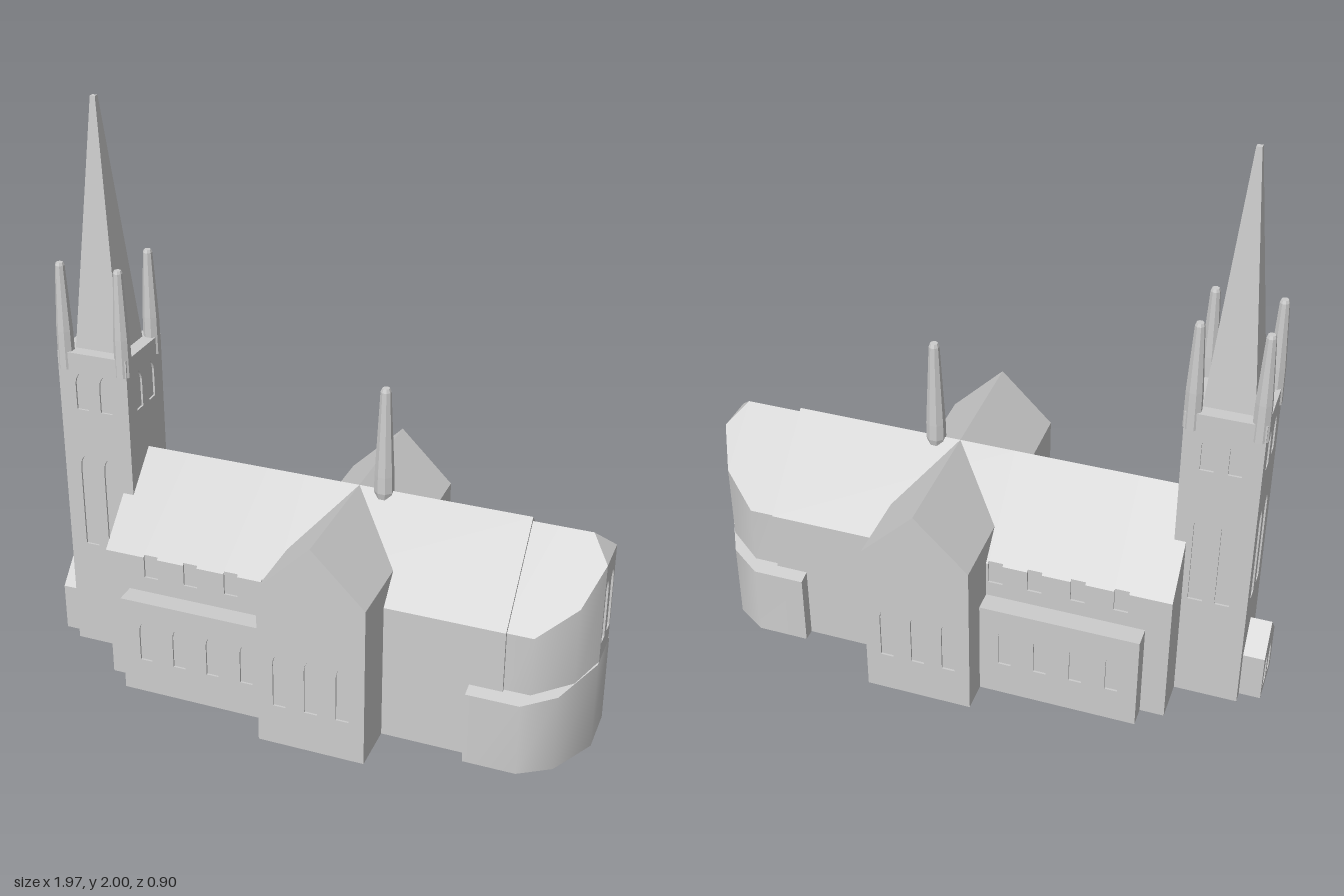
import * as THREE from 'three';

const stone = new THREE.MeshStandardMaterial({ color: 0xcccccc });
stone.name = 'stone';
const RECESS = 0.007;

function add(parent, name, geometry, x = 0, y = 0, z = 0) {
  const mesh = new THREE.Mesh(geometry, stone);
  mesh.name = name;
  mesh.position.set(x, y, z);
  parent.add(mesh);
  return mesh;
}

// box given by its limits
function block(parent, name, x0, x1, y0, y1, z0, z1) {
  return add(parent, name, new THREE.BoxGeometry(x1 - x0, y1 - y0, z1 - z0),
    (x0 + x1) / 2, (y0 + y1) / 2, (z0 + z1) / 2);
}

const outline = (pts) => new THREE.Shape(pts.map(([x, y]) => new THREE.Vector2(x, y)));
const rect = (x0, x1, y0, y1) => [[x0, y0], [x1, y0], [x1, y1], [x0, y1]];
const gable = (w, eave, ridge) => [[-w, 0], [w, 0], [w, eave], [0, ridge], [-w, eave]];
const extrude = (shape, depth) =>
  new THREE.ExtrudeGeometry(shape, { depth, bevelEnabled: false, curveSegments: 5 });

// pointed window opening
function lancet(x, y0, y1, w = 0.045) {
  const h = w / 2, spring = y1 - w * 1.1;
  const p = new THREE.Path();
  p.moveTo(x - h, y0);
  p.lineTo(x + h, y0);
  p.lineTo(x + h, spring);
  p.quadraticCurveTo(x + h, y1 - w * 0.4, x, y1);
  p.quadraticCurveTo(x - h, y1 - w * 0.4, x - h, spring);
  p.closePath();
  return p;
}

// wall facing with window openings, looking towards +z
function facing(pts, windows) {
  const s = outline(pts);
  s.holes.push(...windows);
  return extrude(s, RECESS);
}

// solid running along x from x0 to x1 with a cross-section in (z, y)
function alongX(parent, name, pts, x0, x1) {
  const g = extrude(outline(pts), x1 - x0);
  g.rotateY(Math.PI / 2);
  return add(parent, name, g, x0);
}

// round-ended choir block: half plan [x, z], roof height by z, hipped at hipX
function apseBlock(parent, name, plan, base, roofY, hipX, openEnd) {
  const path = [...plan, ...plan.map(([x, z]) => [x, -z]).reverse()];
  const wall = [], index = [];
  path.forEach(([x, z], i) => {
    wall.push(x, base, z, x, roofY(Math.abs(z)), z);
    if (i < path.length - 1 && !(openEnd && i === plan.length - 1)) {
      const a = 2 * i;
      index.push(a, a + 2, a + 3, a, a + 3, a + 1);
    }
  });
  const walls = new THREE.BufferGeometry();
  walls.setAttribute('position', new THREE.Float32BufferAttribute(wall, 3));
  walls.setIndex(index);
  walls.computeVertexNormals();
  add(parent, name + 'Wall', walls);

  const flat = [];
  const fan = (...p) => {
    for (let i = 1; i < p.length - 1; i++) flat.push(...p[0], ...p[i], ...p[i + 1]);
  };
  const top = ([x, z], s) => [x, roofY(z), s * z];
  const ridge = ([x]) => [Math.min(x, hipX), roofY(0), 0];
  const low = ([x, z], s) => [x, base, s * z];
  for (let i = 0; i < plan.length - 1; i++) {
    const a = plan[i], b = plan[i + 1];
    fan(top(a, 1), top(b, 1), ridge(b), ridge(a));
    fan(ridge(a), ridge(b), top(b, -1), top(a, -1));
    fan(low(a, 1), low(a, -1), low(b, -1), low(b, 1));
  }
  const s = plan[0], e = plan[plan.length - 1];
  fan(top(e, 1), top(e, -1), ridge(e));
  fan(low(s, 1), top(s, 1), ridge(s), top(s, -1), low(s, -1));
  const roof = new THREE.BufferGeometry();
  roof.setAttribute('position', new THREE.Float32BufferAttribute(flat, 3));
  roof.computeVertexNormals();
  add(parent, name + 'Roof', roof);
}

// eight-sided pinnacle from a [radius, y] profile
function pinnacle(parent, name, profile, x, z) {
  const pts = profile.map(([r, y]) => new THREE.Vector2(r, y));
  const g = new THREE.LatheGeometry(pts, 8, Math.PI / 8).toNonIndexed();
  g.computeVertexNormals();
  add(parent, name, g, x, 0, z);
}

function buildNave(root) {
  const nave = new THREE.Group();
  nave.name = 'nave';
  root.add(nave);
  const W = 0.275, E = 0.498, R = 0.773, n = W - RECESS, sill = 0.42;
  const plain = gable(W, E, R);
  const notched = [[-W, 0], [W, 0], [W, sill], [n, sill], [n, E + RECESS],
    [0, R], [-n, E + RECESS], [-n, sill], [-W, sill]];
  // plain bays alternate with clerestory window bays
  let x = -0.692;
  for (const c of [-0.523, -0.375, -0.226, -0.09]) {
    alongX(nave, 'naveBay', plain, x, c - 0.025);
    alongX(nave, 'clerestoryBay', notched, c - 0.025, c + 0.025);
    x = c + 0.025;
  }
  alongX(nave, 'naveEastBay', plain, x, 0.722);

  // side aisles
  const d = 0.345 - RECESS;
  for (const s of [1, -1]) {
    const aisle = new THREE.Group();
    aisle.name = s > 0 ? 'frontAisle' : 'backAisle';
    const core = block(aisle, 'aisleCore', -0.608, -0.055, 0, 0.363, 0.2, d);
    core.position.z *= s;
    const windows = [-0.52, -0.395, -0.27, -0.145].map((c) => lancet(s * c, 0.13, 0.29));
    const pts = s > 0 ? rect(-0.608, -0.055, 0, 0.363) : rect(0.055, 0.608, 0, 0.363);
    const f = add(aisle, 'aisleFacing', facing(pts, windows), 0, 0, s * d);
    if (s < 0) f.rotation.y = Math.PI;
    nave.add(aisle);
  }
}

function buildTransept(root) {
  const t = new THREE.Group();
  t.name = 'transept';
  t.position.x = 0.129;
  root.add(t);
  const pts = gable(0.186, 0.587, 0.773), d = 0.449 - RECESS;
  add(t, 'transeptCore', extrude(outline(pts), 2 * d), 0, 0, -d);
  for (const s of [1, -1]) {
    const windows = [-0.11, 0, 0.11].map((c) => lancet(c, 0.15, 0.36));
    const f = add(t, 'transeptGable', facing(pts, windows), 0, 0, s * d);
    if (s < 0) f.rotation.y = Math.PI;
  }
}

function buildTower(root) {
  const tower = new THREE.Group();
  tower.name = 'tower';
  tower.position.x = -0.782;
  root.add(tower);
  const H = 0.129, c = H - RECESS, top = 1.148;
  block(tower, 'towerCore', -c, c, 0, top, -c, c);
  for (let i = 0; i < 4; i++) {
    const w = i % 2 ? c : H;
    const windows = [-0.045, 0.045].flatMap((u) => {
      const upper = lancet(u, 0.94, 1.08);
      return i === 1 ? [upper] : [upper, lancet(u, 0.41, 0.77, 0.05)];
    });
    const a = (i * Math.PI) / 2;
    const f = add(tower, 'towerFacing', facing(rect(-w, w, 0, top), windows),
      Math.sin(a) * c, 0, Math.cos(a) * c);
    f.rotation.y = a;
  }
  // spire
  const q = Math.SQRT2;
  const spire = new THREE.CylinderGeometry(0.009 * q, 0.083 * q, 2 - top, 4, 1, false, Math.PI / 4).toNonIndexed();
  spire.computeVertexNormals();
  add(tower, 'spire', spire, 0, (2 + top) / 2, 0);
  // corner pinnacles
  const profile = [[0, 1.085], [0.03, 1.085], [0.028, 1.22], [0.016, 1.45], [0.012, 1.46], [0, 1.46]];
  for (const sx of [-1, 1])
    for (const sz of [-1, 1]) pinnacle(tower, 'cornerPinnacle', profile, sx * 0.107, sz * 0.107);

  // west porch
  const porch = gable(0.088, 0.177, 0.274);
  alongX(root, 'porch', porch, -0.985 + RECESS, -0.9);
  const doors = [-0.035, 0.035].map((u) => lancet(u, 0.03, 0.15));
  const f = add(root, 'porchFacing', facing(porch, doors), -0.985 + RECESS);
  f.rotation.y = -Math.PI / 2;
}

function buildApse(root) {
  const apse = new THREE.Group();
  apse.name = 'apse';
  root.add(apse);
  const end = 0.985;
  apseBlock(apse, 'upperApse', [[0.7, 0.265], [0.81, 0.265], [0.932, 0.18], [end, 0.07]],
    0.2, (z) => 0.758 - z, 0.922, true);
  apseBlock(apse, 'ambulatory', [[0.61, 0.318], [0.79, 0.318], [0.897, 0.25], [end, 0.085]],
    0, (z) => 0.345 - 0.25 * z, 0.9, false);
  // east wall with paired windows
  const windows = [-0.038, 0.038].map((u) => lancet(u, 0.39, 0.62));
  const f = add(apse, 'eastFacing', facing(rect(-0.07, 0.07, 0.323, 0.688), windows), end - RECESS);
  f.rotation.y = Math.PI / 2;
  block(apse, 'eastCore', 0.955, end - RECESS, 0.32, 0.688, -0.07, 0.07);
}

export function createModel() {
  const root = new THREE.Group();
  root.name = 'church';
  buildNave(root);
  buildTransept(root);
  buildTower(root);
  buildApse(root);
  // ridge turret
  pinnacle(root, 'ridgeTurret', [[0, 0.738], [0.026, 0.738], [0.034, 0.77], [0.033, 0.83],
    [0.018, 1.13], [0.013, 1.143], [0, 1.143]], 0.216, 0);
  return root;
}
